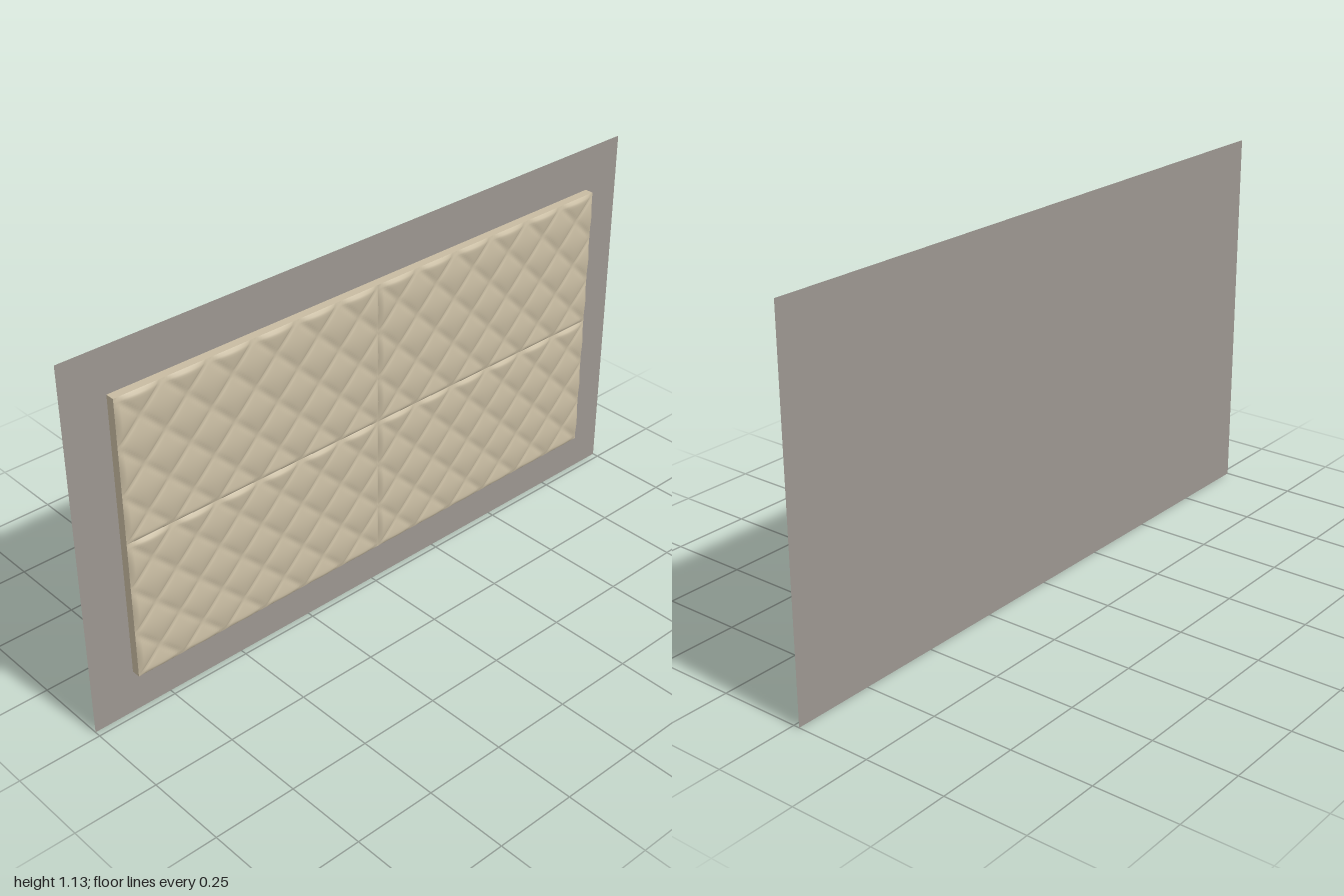
import * as THREE from 'three';

const BACK = -0.019, FRONT = 0.019;   // depth range
const W = 0.866, H = 0.433;           // one panel
const PITCH = W / 6;                  // width of one quilted diamond
const BODY_FRONT = 0.009;             // where the padding starts

// Padded front: diamonds divided by diagonal grooves, rounded off at the rim
function quiltGeometry() {
  const geo = new THREE.PlaneGeometry(W, H, 120, 60);
  const pos = geo.attributes.position;
  for (let i = 0; i < pos.count; i++) {
    const x = pos.getX(i), y = pos.getY(i);
    const u = (x + W / 2) / PITCH, v = (y + H / 2) / PITCH;
    const puff = Math.abs(Math.sin(Math.PI * (u + v)) * Math.sin(Math.PI * (u - v))) ** 0.5;
    const edge = Math.max(0, Math.min(W / 2 - Math.abs(x), H / 2 - Math.abs(y)));
    const t = Math.min(1, edge / 0.015);
    const rim = Math.sqrt(1 - (1 - t) ** 2);
    pos.setZ(i, BODY_FRONT + (FRONT - BODY_FRONT) * rim * (0.15 + 0.85 * puff));
  }
  geo.computeVertexNormals();
  return geo;
}

export function createModel() {
  const fabric = new THREE.MeshStandardMaterial({ color: 0xc8bca2 });
  fabric.name = 'beige fabric';
  const wall = new THREE.MeshStandardMaterial({ color: 0x9c9690, side: THREE.DoubleSide });
  wall.name = 'warm grey wall';

  const model = new THREE.Group();
  model.name = 'quiltedWallPanels';

  // Flat sheet behind the panels
  const sheet = new THREE.Mesh(new THREE.PlaneGeometry(2, 1.134), wall);
  sheet.name = 'backingSheet';
  sheet.position.set(0, 0.567, BACK);
  model.add(sheet);

  // Two by two upholstered panels
  const quilt = quiltGeometry();
  const depth = BODY_FRONT - BACK - 0.001;
  const body = new THREE.BoxGeometry(W, H, depth);
  for (const sx of [-1, 1]) {
    for (const sy of [-1, 1]) {
      const panel = new THREE.Group();
      panel.name = (sy > 0 ? 'upper' : 'lower') + (sx > 0 ? 'Left' : 'Right') + 'Panel';
      panel.position.set(sx * W / 2, 0.567 + sy * H / 2, 0);

      const core = new THREE.Mesh(body, fabric);
      core.name = 'panelBody';
      core.position.z = BODY_FRONT - depth / 2;
      const padding = new THREE.Mesh(quilt, fabric);
      padding.name = 'quiltedPadding';
      panel.add(core, padding);
      model.add(panel);
    }
  }
  return model;
}
